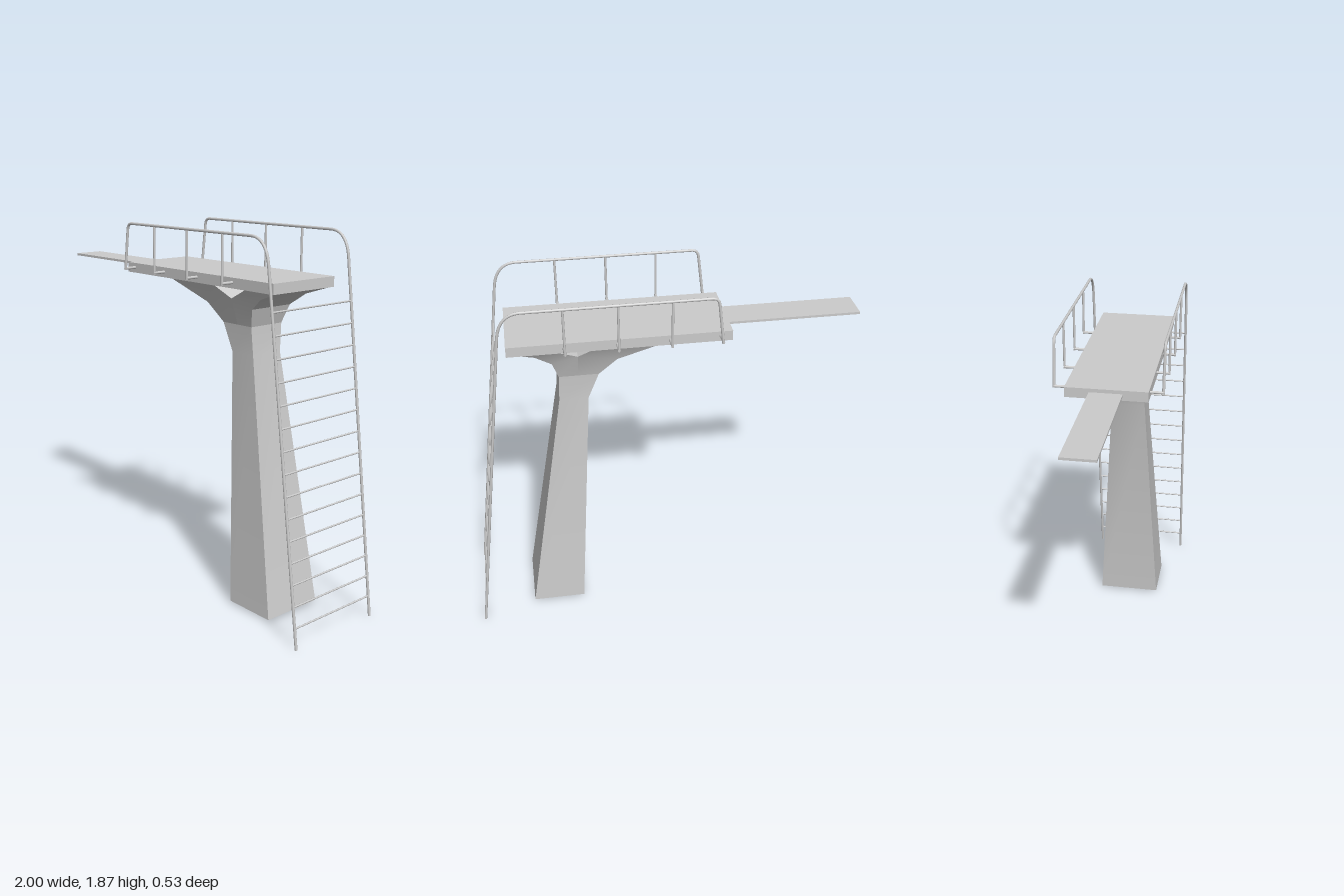
import * as THREE from 'three';
import { toCreasedNormals } from 'three/addons/utils/BufferGeometryUtils.js';

const grey = new THREE.MeshStandardMaterial({ color: 0xcccccc });
const greyOpen = new THREE.MeshStandardMaterial({ color: 0xcccccc, side: THREE.DoubleSide });
const RAIL_Z = 0.26;

function addMesh(group, name, geometry, material = grey) {
  const mesh = new THREE.Mesh(geometry, material);
  mesh.name = name;
  group.add(mesh);
  return mesh;
}

function addBox(group, name, [x0, x1], [y0, y1], [z0, z1]) {
  addMesh(group, name, new THREE.BoxGeometry(x1 - x0, y1 - y0, z1 - z0))
    .position.set((x0 + x1) / 2, (y0 + y1) / 2, (z0 + z1) / 2);
}

// Straight round bar between two points
function addBar(group, name, from, to, radius) {
  const a = new THREE.Vector3(...from), b = new THREE.Vector3(...to);
  const bar = addMesh(group, name, new THREE.CylinderGeometry(radius, radius, a.distanceTo(b), 8));
  bar.position.copy(a).add(b).multiplyScalar(0.5);
  bar.quaternion.setFromUnitVectors(new THREE.Vector3(0, 1, 0), b.sub(a).normalize());
}

// Half depth of the pillar at a given height
const depths = [[0.01, 0.167], [1.28, 0.09], [1.42, 0.1], [1.51, 0.125], [1.57, 0.15], [1.61, 0.178]];
function halfDepth(y) {
  const i = Math.max(1, depths.findIndex(([h]) => y <= h));
  const [[y0, w0], [y1, w1]] = [depths[i - 1], depths[i]];
  return THREE.MathUtils.lerp(w0, w1, (y - y0) / (y1 - y0));
}

// Skin four-cornered sections, each given as [x, y] of its left and right edge
function loft(sections) {
  const positions = [], index = [];
  sections.forEach(([[xl, yl], [xr, yr]], s) => {
    const wl = halfDepth(yl), wr = halfDepth(yr);
    positions.push(xl, yl, wl, xr, yr, wr, xr, yr, -wr, xl, yl, -wl);
    if (s === 0) return;
    for (let k = 0; k < 4; k++) {
      const a = (s - 1) * 4 + k, b = (s - 1) * 4 + (k + 1) % 4;
      index.push(a, b, b + 4, a, b + 4, a + 4);
    }
  });
  const geometry = new THREE.BufferGeometry();
  geometry.setAttribute('position', new THREE.Float32BufferAttribute(positions, 3));
  geometry.setIndex(index);
  return toCreasedNormals(geometry, 0.6);
}

// Handrail that bends over and runs down as the ladder stringer
function railGeometry(z) {
  const v = (x, y) => new THREE.Vector3(x, y, z);
  const path = new THREE.CurvePath();
  path.add(new THREE.LineCurve3(v(-0.277, 1.63), v(-0.252, 1.835)));
  path.add(new THREE.QuadraticBezierCurve3(v(-0.252, 1.835), v(-0.248, 1.868), v(-0.22, 1.868)));
  path.add(new THREE.LineCurve3(v(-0.22, 1.868), v(0.65, 1.868)));
  path.add(new THREE.QuadraticBezierCurve3(v(0.65, 1.868), v(0.747, 1.868), v(0.765, 1.75)));
  path.add(new THREE.LineCurve3(v(0.765, 1.75), v(0.992, 0.001)));
  return new THREE.TubeGeometry(path, 180, 0.007, 8, false);
}

export function createModel() {
  const model = new THREE.Group();
  model.name = 'divingTower';

  // Deck and springboard
  addBox(model, 'platform', [-0.335, 0.735], [1.61, 1.66], [-0.2, 0.198]);
  addBox(model, 'divingBoard', [-1, -0.33], [1.63, 1.642], [-0.083, 0.077]);

  // Tapered pillar, open at the foot, forking into two arms below the deck
  const pillar = new THREE.Group();
  pillar.name = 'pillar';
  model.add(pillar);
  addMesh(pillar, 'column', loft([
    [[0.44, 0.01], [0.715, 0.01]],
    [[0.355, 1.28], [0.5, 1.28]],
    [[0.3, 1.42], [0.495, 1.42]],
  ]), greyOpen);
  addMesh(pillar, 'longArm', loft([
    [[0.3, 1.42], [0.4, 1.42]],
    [[0.21, 1.51], [0.4, 1.55]],
    [[-0.01, 1.61], [0.31, 1.61]],
  ]), greyOpen);
  addMesh(pillar, 'shortArm', loft([
    [[0.4, 1.42], [0.495, 1.42]],
    [[0.4, 1.55], [0.525, 1.51]],
    [[0.467, 1.58], [0.605, 1.568]],
    [[0.535, 1.61], [0.73, 1.61]],
  ]), greyOpen);

  // Railings on both sides, with posts and brackets to the deck
  for (const side of [1, -1]) {
    const railing = new THREE.Group();
    railing.name = side > 0 ? 'frontRailing' : 'backRailing';
    model.add(railing);
    const z = side * RAIL_Z;
    addMesh(railing, 'handrail', railGeometry(z), greyOpen);
    for (const x of [-0.035, 0.215, 0.465]) {
      addBar(railing, 'post', [x, 1.63, z], [x, 1.868, z], 0.006);
    }
    for (const x of [-0.277, -0.035, 0.215, 0.465]) {
      addBar(railing, 'bracket', [x, 1.637, side * 0.19], [x, 1.637, z + side * 0.004], 0.007);
    }
  }

  // Ladder rungs between the sloping stringers
  const ladder = new THREE.Group();
  ladder.name = 'ladder';
  model.add(ladder);
  for (let i = 1; i <= 15; i++) {
    const y = i * 0.103;
    const x = 0.992 - 0.13 * y;
    addBar(ladder, 'rung', [x, y, -RAIL_Z], [x, y, RAIL_Z], 0.0045);
  }
  return model;
}
